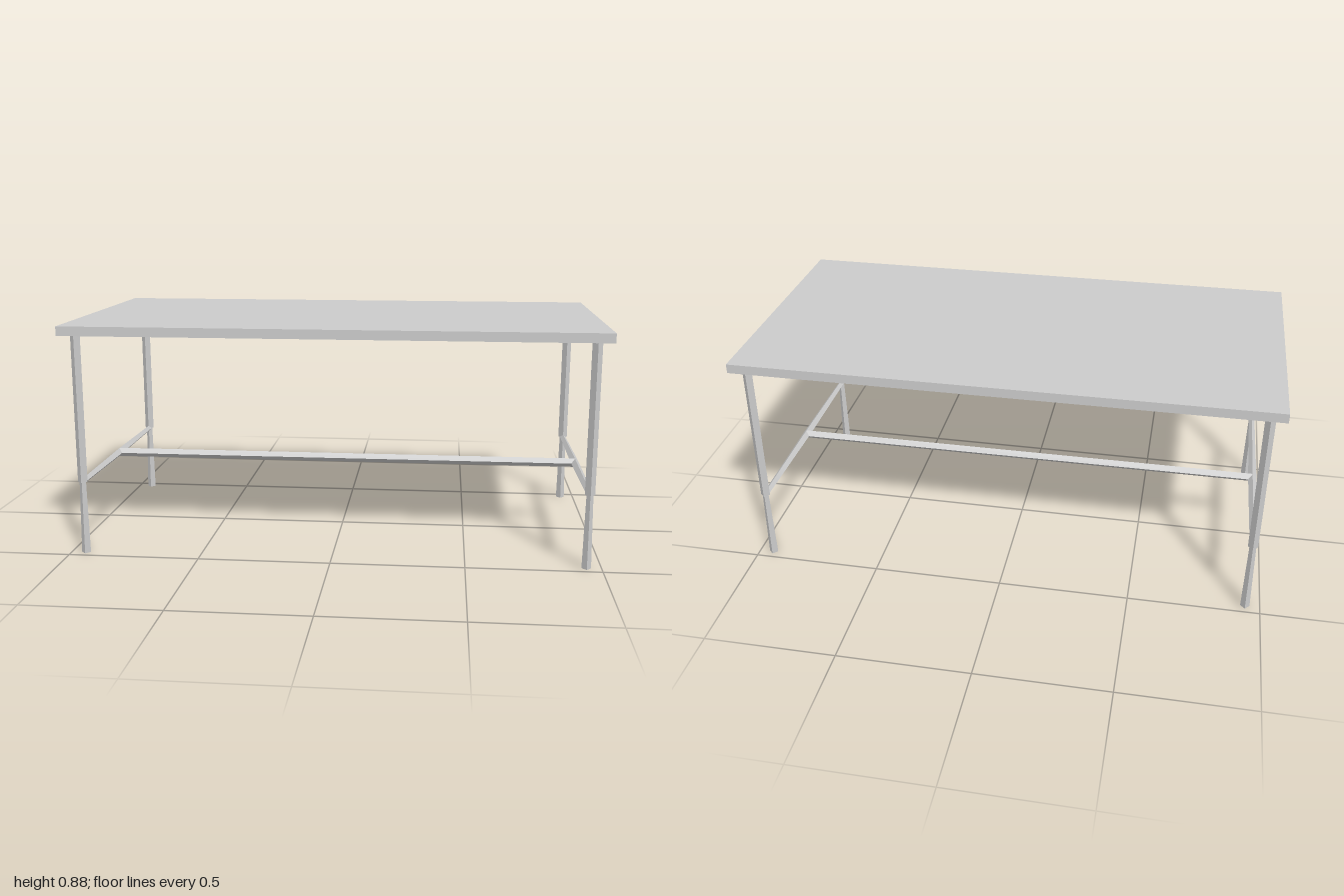
import * as THREE from 'three';

const LEG_X = 0.944, LEG_Z = 0.463, RAIL_Y = 0.28, TOP_Y = 0.84;

export function createModel() {
  const table = new THREE.Group();
  table.name = 'table';
  const material = new THREE.MeshStandardMaterial({ color: 0xcccccc, flatShading: true });

  function add(name, geometry, x, y, z) {
    const mesh = new THREE.Mesh(geometry, material);
    mesh.name = name;
    mesh.position.set(x, y, z);
    table.add(mesh);
    return mesh;
  }

  // Four-sided bar standing on edge, optionally tapered
  const bar = (rTop, rBottom, length) => new THREE.CylinderGeometry(rTop, rBottom, length, 4);

  // Table top
  add('tableTop', new THREE.BoxGeometry(2, 0.035, 1.014), 0, TOP_Y + 0.0175, 0);

  for (const sx of [-1, 1]) {
    for (const sz of [-1, 1]) {
      // Legs: straight above the rail, slightly flared below it
      const upper = TOP_Y - RAIL_Y;
      add('upperLeg', bar(0.0185, 0.0185, upper), sx * LEG_X, RAIL_Y + upper / 2, sz * LEG_Z);
      add('lowerLeg', bar(0.0125, 0.0175, RAIL_Y), sx * LEG_X, RAIL_Y / 2, sz * LEG_Z);

      // Side rail halves, thickest where they meet the stretcher
      const half = add('sideRail', bar(0.012, 0.0165, LEG_Z), sx * LEG_X, RAIL_Y, sz * LEG_Z / 2);
      half.rotation.x = sz * Math.PI / 2;
    }
  }

  // Long stretcher joining the side rails
  const stretcher = add('stretcher', bar(0.0175, 0.0175, 2 * LEG_X), 0, RAIL_Y, 0);
  stretcher.rotation.z = Math.PI / 2;

  return table;
}
